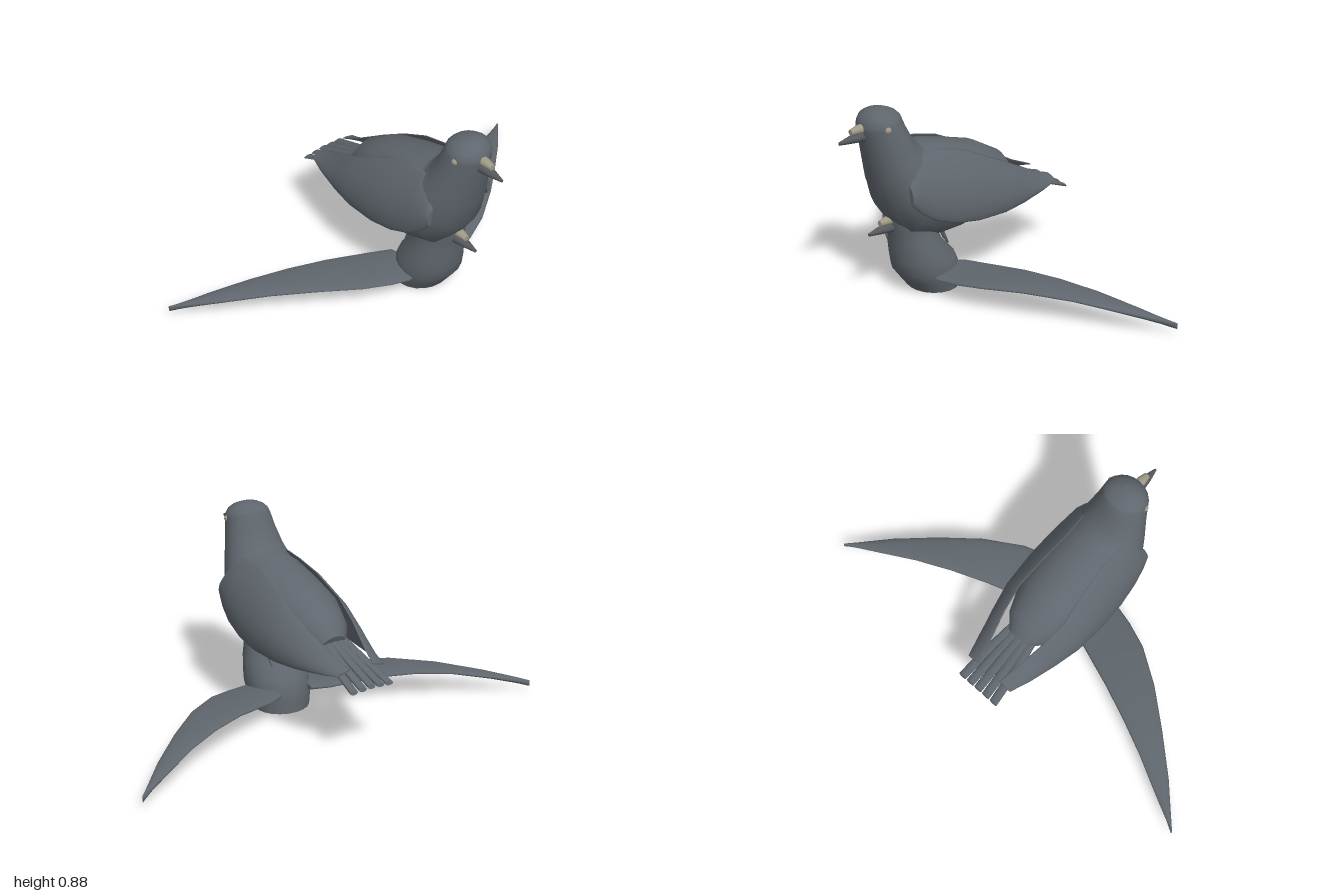
import * as THREE from 'three';

const V = (x, y, z) => new THREE.Vector3(x, y, z);

// Oval ring between points a and b, with half-thickness vector side and an outward bow at mid-span
function ring(a, b, side, bow = V(0, 0, 0), n = 20) {
  const mid = a.clone().add(b).multiplyScalar(0.5);
  const half = a.clone().sub(b).multiplyScalar(0.5);
  return Array.from({ length: n }, (_, i) => {
    const t = (i / n) * Math.PI * 2, s = Math.sin(t);
    return mid.clone().addScaledVector(half, Math.cos(t)).addScaledVector(side, s).addScaledVector(bow, s * s);
  });
}

// Closed skin through a list of rings, with flat end caps, turned to face outward
function loft(rings) {
  const n = rings[0].length, pts = rings.flat(), idx = [];
  for (let r = 0; r < rings.length - 1; r++) {
    for (let i = 0; i < n; i++) {
      const a = r * n + i, b = r * n + (i + 1) % n;
      idx.push(a, b, b + n, a, b + n, a + n);
    }
  }
  [rings[0], rings[rings.length - 1]].forEach((cap, k) => {
    const base = pts.length;
    pts.push(...cap);
    for (let i = 1; i < n - 1; i++) {
      idx.push(base, base + (k ? i : i + 1), base + (k ? i + 1 : i));
    }
  });
  let volume = 0;
  for (let i = 0; i < idx.length; i += 3) {
    volume += pts[idx[i]].dot(pts[idx[i + 1]].clone().cross(pts[idx[i + 2]]));
  }
  if (volume < 0) idx.reverse();
  const g = new THREE.BufferGeometry().setFromPoints(pts);
  g.setIndex(idx);
  g.computeVertexNormals();
  return g;
}

// Rows are: back x, y, chest x, y, half-width
const bodyLoft = rows => loft(rows.map(([ax, ay, bx, by, w]) => ring(V(ax, ay, 0), V(bx, by, 0), V(0, 0, w))));

export function createModel() {
  const model = new THREE.Group();
  model.name = 'twoBirds';
  const material = (name, color) => {
    const m = new THREE.MeshStandardMaterial({ color });
    m.name = name;
    return m;
  };
  const plumage = material('slate plumage', 0x5f666d);
  const horn = material('dark beak', 0x54585d);
  const pale = material('pale eye and cere', 0x9f9986);

  const add = (name, geometry, mat, parent = model) => {
    const m = new THREE.Mesh(geometry, mat);
    m.name = name;
    parent.add(m);
    return m;
  };

  // Head shared by both birds
  const headRows = [
    [0.28, 0.84, 0.46, 0.79, 0.104], [0.295, 0.855, 0.46, 0.81, 0.098],
    [0.32, 0.866, 0.452, 0.836, 0.082], [0.345, 0.873, 0.43, 0.858, 0.055], [0.37, 0.875, 0.4, 0.871, 0.02],
  ];

  // Beak, cere and eyes shared by both birds
  function addFace(name, dx, dy) {
    const face = new THREE.Group();
    face.name = name;
    face.position.set(dx, dy, 0);
    model.add(face);
    add('beak', loft([[0.42, 0.795, 0.745, 0.032], [0.46, 0.79, 0.746, 0.027],
      [0.51, 0.781, 0.749, 0.019], [0.565, 0.767, 0.753, 0.005]]
      .map(([x, t, b, w]) => ring(V(x, t, 0), V(x, b, 0), V(0, 0, w), undefined, 12))), horn, face);
    add('cere', loft([[0.43, 0.825, 0.78, 0.024], [0.475, 0.82, 0.782, 0.021], [0.508, 0.809, 0.783, 0.014]]
      .map(([x, t, b, w]) => ring(V(x, t, 0), V(x, b, 0), V(0, 0, w), undefined, 12))), pale, face);
    for (const s of [1, -1]) {
      add(s > 0 ? 'leftEye' : 'rightEye', new THREE.SphereGeometry(0.017, 12, 8), pale, face)
        .position.set(0.386, 0.807, s * 0.091);
    }
  }

  // Perched bird
  add('upperBody', bodyLoft([
    [-0.31, 0.46, -0.28, 0.385, 0.06], [-0.25, 0.54, -0.23, 0.34, 0.11],
    [-0.12, 0.615, -0.13, 0.287, 0.16], [0.02, 0.655, 0.02, 0.252, 0.186],
    [0.14, 0.685, 0.12, 0.245, 0.193], [0.185, 0.69, 0.28, 0.29, 0.183],
    [0.2, 0.695, 0.37, 0.42, 0.168], [0.23, 0.73, 0.408, 0.55, 0.145],
    [0.26, 0.79, 0.437, 0.68, 0.12], ...headRows,
  ]), plumage);
  addFace('upperFace', 0, 0);

  // Tail fan
  for (let i = -2; i <= 2; i++) {
    add('tailFeather', loft([[-0.2, 0.47, 0.018, 0.5], [-0.42, 0.378, 0.021, 0.85], [-0.565, 0.326, 0.02, 1]]
      .map(([x, y, w, f]) => {
        const z = i * 0.045 * f, lift = -Math.abs(i) * 0.003;
        return ring(V(x, y + lift, z - w), V(x, y + lift, z + w), V(0.003, 0.009, 0), undefined, 8);
      })), plumage);
  }

  for (const s of [1, -1]) {
    const side = s > 0 ? 'left' : 'right';

    // Folded wing, rows are: x, top y, top z, bottom y, bottom z, bow
    add(side + 'FoldedWing', loft([
      [0.325, 0.56, 0.155, 0.48, 0.17, 0.008], [0.28, 0.65, 0.125, 0.435, 0.185, 0.024],
      [0.22, 0.675, 0.105, 0.395, 0.196, 0.034], [0.12, 0.668, 0.1, 0.36, 0.206, 0.04],
      [0, 0.635, 0.11, 0.342, 0.21, 0.038], [-0.15, 0.56, 0.125, 0.336, 0.2, 0.03],
      [-0.27, 0.497, 0.11, 0.342, 0.178, 0.02], [-0.4, 0.425, 0.08, 0.356, 0.148, 0.008],
      [-0.49, 0.388, 0.06, 0.37, 0.12, 0],
    ].map(([x, ty, tz, by, bz, bow]) =>
      ring(V(x, ty, s * tz), V(x, by, s * bz), V(0, 0.002, s * 0.011), V(0, 0, s * bow)))), plumage);

    // Spread wing, rows are: z, leading x, y, trailing x, y, half-thickness
    add(side + 'SpreadWing', loft([
      [0.08, 0.19, 0.088, -0.02, 0.095, 0.018], [0.16, 0.185, 0.088, -0.06, 0.1, 0.018],
      [0.24, 0.163, 0.097, -0.09, 0.11, 0.017], [0.36, 0.115, 0.114, -0.135, 0.124, 0.016],
      [0.52, 0.01, 0.126, -0.2, 0.126, 0.015], [0.68, -0.12, 0.115, -0.27, 0.112, 0.014],
      [0.84, -0.258, 0.085, -0.348, 0.08, 0.014], [0.95, -0.367, 0.057, -0.398, 0.054, 0.014],
      [1, -0.416, 0.042, -0.424, 0.04, 0.014],
    ].map(([z, lx, ly, tx, ty, h]) =>
      ring(V(lx, ly, s * z), V(tx, ty, s * z), V(0, h, 0)))), plumage);

    // Small tucked foot
    add(side + 'Foot', loft([[0.11, 0.29, 0.012], [0.085, 0.235, 0.01], [0.068, 0.205, 0.005]]
      .map(([x, y, r]) => ring(V(x - r, y, s * 0.07), V(x + r, y, s * 0.07), V(0, 0, r), undefined, 8))), plumage);
  }

  // Lower bird, upright with a flat base
  const dx = -0.135, dy = -0.447;
  add('lowerBody', bodyLoft([
    [-0.015, 0, 0.215, 0, 0.125], [-0.013, 0.05, 0.253, 0.05, 0.139],
    [-0.01, 0.1, 0.29, 0.1, 0.146], [0.012, 0.15, 0.3, 0.155, 0.142],
    [0.075, 0.22, 0.306, 0.21, 0.128], [0.105, 0.285, 0.31, 0.265, 0.112],
    [0.125, 0.34, 0.318, 0.305, 0.105],
    ...headRows.map(([ax, ay, bx, by, w]) => [ax + dx, ay + dy, bx + dx, by + dy, w]),
  ]), plumage);
  addFace('lowerFace', dx, dy);

  return model;
}
